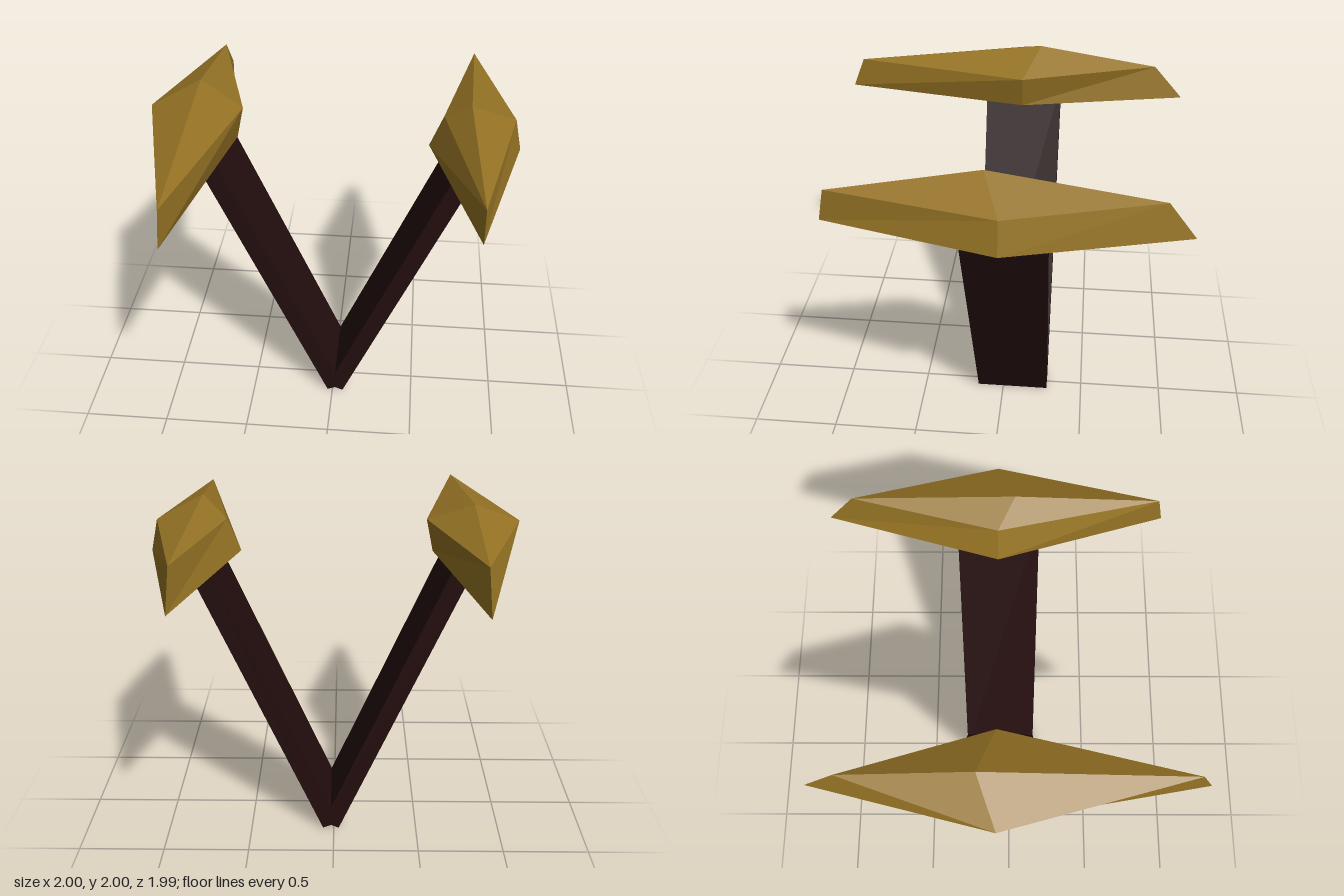
import * as THREE from 'three';

// Faceted pad: bottom diamond, wider or narrower shoulder diamond, and one apex.
// Rings run right, back, left, front (counter-clockwise from above).
function padGeometry(bottom, shoulder, apex) {
  const pos = [];
  const tri = (a, b, c) => pos.push(...a, ...b, ...c);
  for (let i = 0; i < 4; i++) {
    const j = (i + 1) % 4;
    tri(bottom[i], bottom[j], shoulder[j]);
    tri(bottom[i], shoulder[j], shoulder[i]);
    tri(shoulder[i], shoulder[j], apex);
  }
  tri(bottom[0], bottom[2], bottom[1]);
  tri(bottom[0], bottom[3], bottom[2]);
  const g = new THREE.BufferGeometry();
  g.setAttribute('position', new THREE.Float32BufferAttribute(pos, 3));
  g.computeVertexNormals();
  return g;
}

export function createModel() {
  const gold = new THREE.MeshStandardMaterial({ color: 0x947224, flatShading: true });
  gold.name = 'gold';
  const darkWood = new THREE.MeshStandardMaterial({ color: 0x240e0e, flatShading: true });
  darkWood.name = 'darkWood';

  const model = new THREE.Group();
  model.name = 'vStand';
  const add = (name, geometry, material) => {
    const mesh = new THREE.Mesh(geometry, material);
    mesh.name = name;
    model.add(mesh);
    return mesh;
  };

  // Two crossed planks forming the V
  const tilt = 0.402, thick = 0.101, length = 1.9, midZ = -0.06;
  for (const side of [-1, 1]) {
    const plank = add(side > 0 ? 'leftArm' : 'rightArm',
      new THREE.BoxGeometry(thick, length, 0.44), darkWood);
    plank.rotation.z = -side * tilt;
    // centre = outer bottom corner + half thickness inward + half length upward
    const c = Math.cos(tilt), s = Math.sin(tilt);
    plank.position.set(
      0.0175 + side * (0.0475 - c * thick / 2 + s * length / 2),
      0.005 + s * thick / 2 + c * length / 2, midZ);
  }

  // Slightly irregular faceted pads on the ends
  add('rightPad', padGeometry(
    [[-0.54, 1.71, midZ], [-0.73, 1.71, -1], [-0.915, 1.71, midZ], [-0.73, 1.71, 0.99]],
    [[-0.5, 1.89, midZ], [-0.73, 1.9, -0.83], [-1, 1.885, midZ], [-0.73, 1.88, 0.92]],
    [-0.74, 2, -0.155]), gold);
  add('leftPad', padGeometry(
    [[1, 1.71, midZ], [0.765, 1.71, -0.975], [0.51, 1.71, midZ], [0.765, 1.71, 0.825]],
    [[0.96, 1.885, midZ], [0.765, 1.9, -0.83], [0.58, 1.89, midZ], [0.765, 1.88, 0.79]],
    [0.715, 2, 0.03]), gold);

  return model;
}
